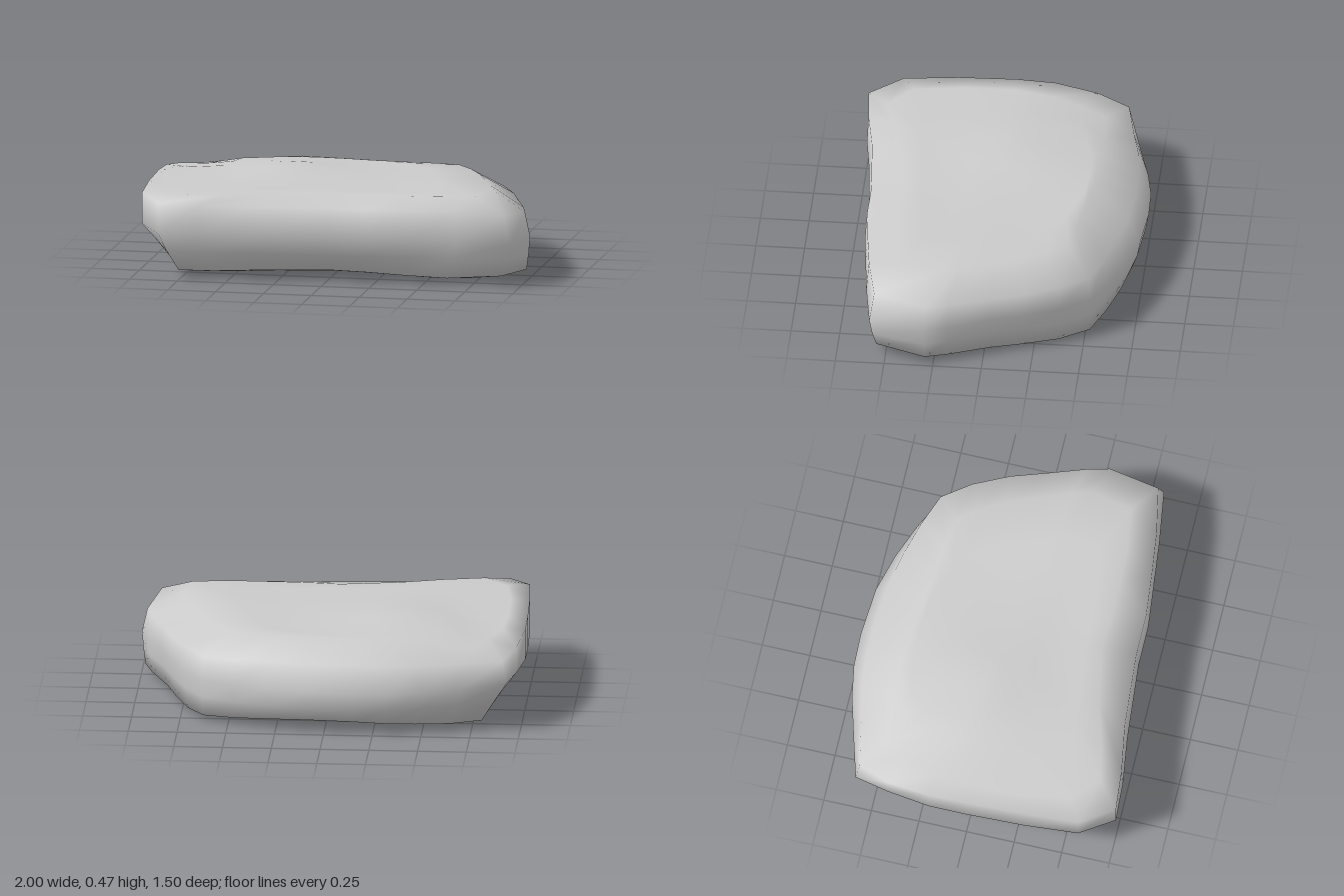
import * as THREE from 'three';

// Plan outline: x, z, inset of the foot, inset of the top rim, shoulder height
const outline = [
  [-0.85, 0.75, 0.12, 0.17, 0.4], [-0.65, 0.74, 0.1, 0.19, 0.395], [-0.4, 0.705, 0.09, 0.2, 0.39],
  [0, 0.67, 0.08, 0.19, 0.39], [0.22, 0.67, 0.08, 0.19, 0.39], [0.45, 0.645, 0.08, 0.19, 0.39],
  [0.68, 0.62, 0.08, 0.2, 0.39], [0.95, 0.58, 0.06, 0.24, 0.37], [1, 0.3, 0.02, 0.22, 0.34],
  [0.96, 0.18, 0.02, 0.2, 0.34], [0.88, -0.02, 0.03, 0.18, 0.34], [0.82, -0.2, 0.03, 0.18, 0.34],
  [0.74, -0.38, 0.02, 0.19, 0.34], [0.64, -0.53, 0.01, 0.2, 0.335], [0.48, -0.61, 0.02, 0.23, 0.34],
  [0.3, -0.68, 0.03, 0.26, 0.35], [0.1, -0.735, 0.04, 0.28, 0.35], [-0.15, -0.755, 0.04, 0.28, 0.355],
  [-0.33, -0.75, 0.04, 0.28, 0.355], [-0.5, -0.72, 0.06, 0.26, 0.355], [-0.7, -0.665, 0.08, 0.25, 0.355],
  [-0.93, -0.6, 0.16, 0.22, 0.36], [-0.97, -0.42, 0.18, 0.17, 0.39], [-1, -0.2, 0.19, 0.12, 0.42],
  [-1, 0, 0.19, 0.1, 0.43], [-0.99, 0.3, 0.18, 0.1, 0.43], [-0.97, 0.58, 0.2, 0.13, 0.42],
];

// Gently uneven upper and lower faces
const bump = (x, z, cx, cz, w) => Math.exp(-((x - cx) ** 2 + (z - cz) ** 2) / w);
const topY = (x, z) => 0.435 + 0.038 * bump(x, z, -0.33, -0.07, 0.07) + 0.01 * bump(x, z, 0.55, 0.1, 0.06);
const rimY = (x, z) => 0.432 + 0.012 * Math.max(0, x) - 0.1 * Math.max(0, -x - z - 0.9);
const footY = (x, z) => 0.012 + 0.012 * Math.cos(x * 4.5)
  + 0.1 * Math.max(0, -z - 0.4) + 0.12 * Math.max(0, z - 0.4) + 0.06 * Math.max(0, x - 0.6);

// Cross-sections from the bottom centre outward, up the sides and in to the top centre
const sections = [
  { core: 0.35, y: footY },
  { core: 0.72, y: footY },
  { inset: (p) => p[2], y: (x, z) => footY(x, z) + 0.01 },
  { inset: (p) => p[2] * 0.4, y: (x, z, p) => 0.12 + p[2] * 0.25 },
  { inset: () => 0, y: (x, z, p) => 0.21 + p[2] * 0.25 },
  { inset: (p) => Math.max(0, p[3] - 0.17) * 0.6, y: (x, z, p) => p[4] },
  { inset: (p) => p[3], y: rimY },
  { core: 0.6, y: topY },
  { core: 0.45, y: topY },
  { core: 0.25, y: topY },
];

function stoneGeometry() {
  const n = outline.length;
  const pos = [], index = [];
  for (const s of sections) {
    for (const p of outline) {
      const k = s.core ?? 1 - s.inset(p) / Math.hypot(p[0], p[1]);
      // the inner loops lean towards the bump
      const shift = s.core && s.y === topY ? (1 - s.core) * -0.2 : 0;
      const x = p[0] * k + shift, z = p[1] * k;
      pos.push(x, s.y(x, z, p), z);
    }
  }
  for (let r = 0; r < sections.length - 1; r++) {
    for (let i = 0; i < n; i++) {
      const a = r * n + i, b = r * n + (i + 1) % n;
      index.push(a, b, b + n, a, b + n, a + n);
    }
  }
  // Close both faces with a fan
  const bottom = pos.length / 3, top = bottom + 1, last = (sections.length - 1) * n;
  pos.push(0, footY(0, 0), 0, -0.2, topY(-0.2, 0), 0);
  for (let i = 0; i < n; i++) {
    const j = (i + 1) % n;
    index.push(bottom, j, i, top, last + i, last + j);
  }
  const g = new THREE.BufferGeometry();
  g.setAttribute('position', new THREE.Float32BufferAttribute(pos, 3));
  g.setIndex(index);
  // Stand it on the ground
  g.computeBoundingBox();
  g.translate(0, -g.boundingBox.min.y, 0);
  g.computeVertexNormals();
  return g;
}

export function createModel() {
  const group = new THREE.Group();
  group.name = 'flatStone';
  const stone = new THREE.Mesh(stoneGeometry(), new THREE.MeshStandardMaterial({ color: 0xcccccc }));
  stone.name = 'stone';
  group.add(stone);
  return group;
}
